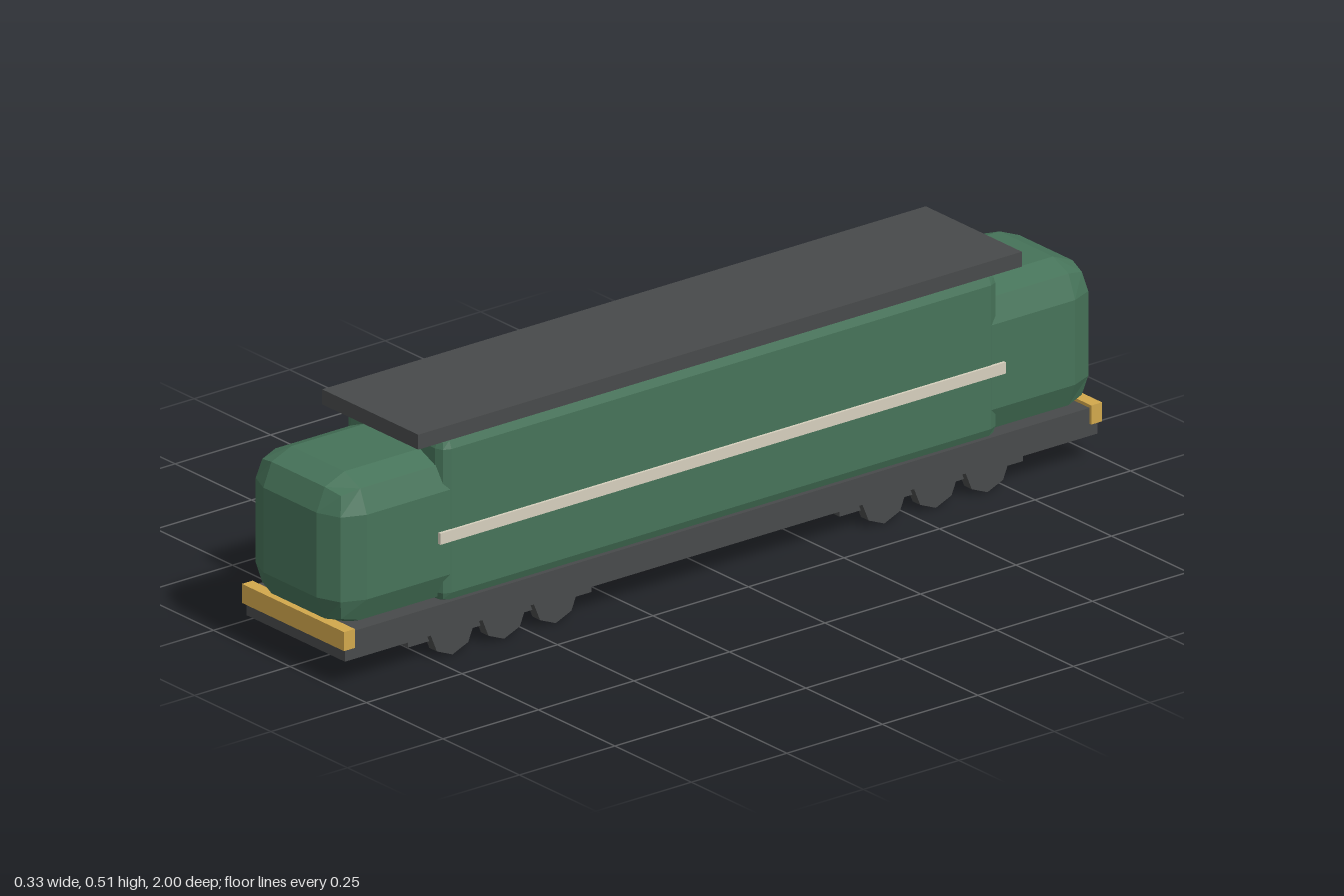
import * as THREE from 'three';
import { RoundedBoxGeometry } from 'three/addons/geometries/RoundedBoxGeometry.js';

const paint = (color) => new THREE.MeshStandardMaterial({ color, flatShading: true });

export function createModel() {
  const green = paint(0x467359);
  const dark = paint(0x484a4b);
  const yellow = paint(0xd2a84c);
  const cream = paint(0xd6cfbd);
  const model = new THREE.Group();
  model.name = 'locomotive';

  const add = (name, geometry, material, x, y, z, parent = model) => {
    const mesh = new THREE.Mesh(geometry, material);
    mesh.name = name;
    mesh.position.set(x, y, z);
    parent.add(mesh);
    return mesh;
  };
  const box = (name, material, w, y0, y1, d, x = 0, z = 0, parent = model) =>
    add(name, new THREE.BoxGeometry(w, y1 - y0, d), material, x, (y0 + y1) / 2, z, parent);

  // Central body with narrow bevels
  add('body', new RoundedBoxGeometry(0.322, 0.365, 1.46, 1, 0.024), green, 0, 0.2975, 0);

  // Underframe and overhanging roof slab
  box('chassis', dark, 0.322, 0.058, 0.12, 1.97);
  box('roof', dark, 0.314, 0.475, 0.508, 1.58);

  // Cream stripe along each side
  for (const side of [-1, 1]) {
    box('sideStripe', cream, 0.012, 0.255, 0.28, 1.48, side * 0.161);
  }

  const wheelGeometry = new THREE.CylinderGeometry(0.058, 0.058, 0.025, 8).rotateZ(Math.PI / 2);

  // Each end: chamfered nose, buffer beam and three-axle bogie
  for (const end of [-1, 1]) {
    add('nose', new RoundedBoxGeometry(0.32, 0.333, 0.42, 1, 0.073), green, 0, 0.2735, end * 0.79);
    box('bufferBeam', yellow, 0.334, 0.085, 0.127, 0.028, 0, end * 0.978);

    const bogie = new THREE.Group();
    bogie.name = 'bogie';
    bogie.position.z = end * 0.565;
    model.add(bogie);
    box('bogieFrame', dark, 0.284, 0.037, 0.06, 0.48, 0, 0, bogie);
    for (const z of [-0.135, 0, 0.135]) {
      for (const side of [-1, 1]) {
        add('wheel', wheelGeometry, dark, side * 0.1445, 0.058, z, bogie);
      }
    }
  }
  return model;
}
